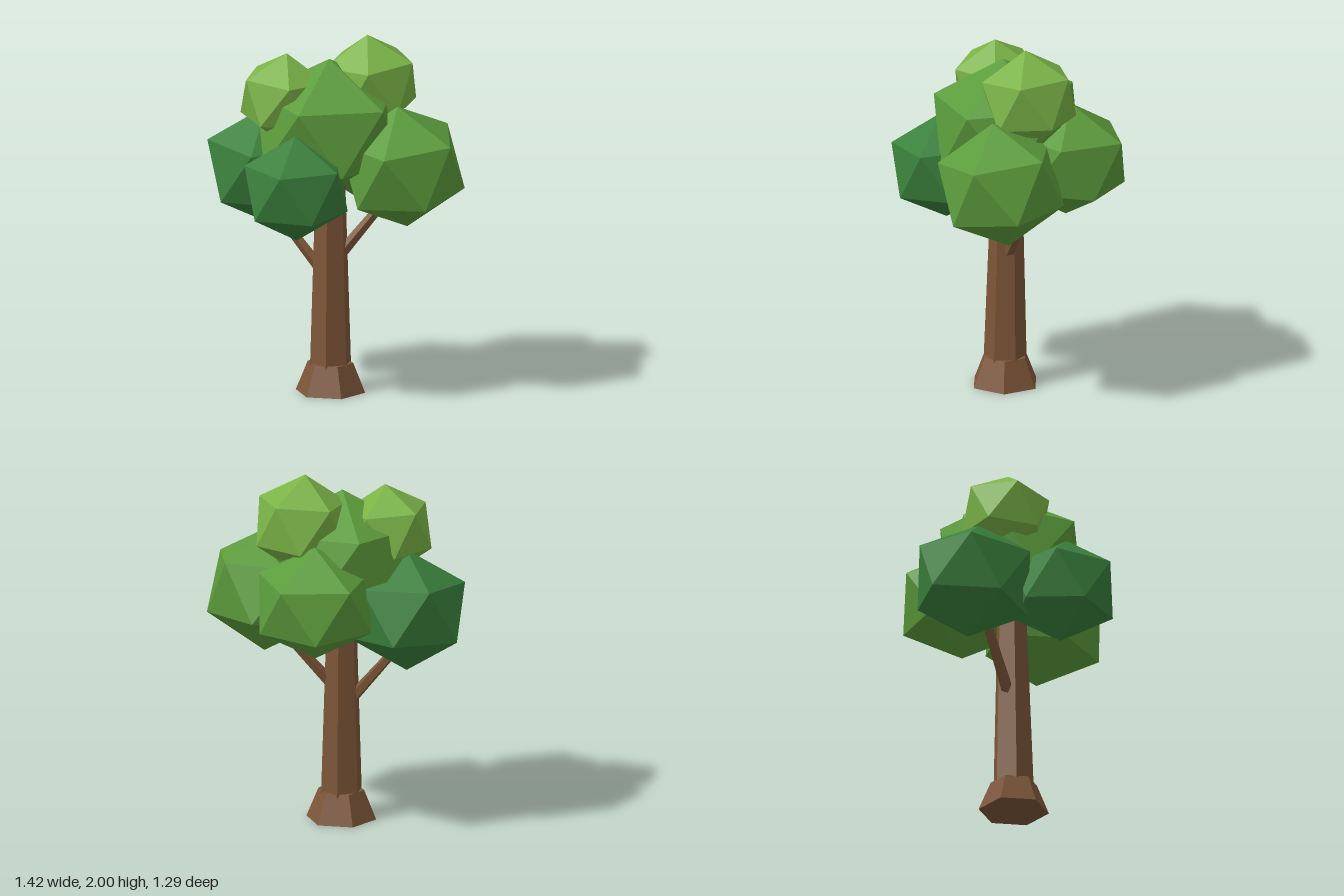
import * as THREE from 'three';

const mat = (color) => new THREE.MeshStandardMaterial({ color, flatShading: true });
const bark = mat(0x7d5639);
const darkLeaf = mat(0x3a803c);
const midLeaf = mat(0x5c9c3c);
const lightLeaf = mat(0x7ab347);
const UP = new THREE.Vector3(0, 1, 0);

// Leaf clump: icosahedron standing on a corner, turned, squashed and leaned
function clump(name, material, center, radius, height, azimuth, leanX, leanZ) {
  const geo = new THREE.IcosahedronGeometry(1, 0);
  geo.rotateZ(-Math.atan(2 / (1 + Math.sqrt(5))));
  geo.rotateY(-THREE.MathUtils.degToRad(azimuth));
  geo.scale(radius, height, radius);
  const lean = new THREE.Vector3(leanX, 1, leanZ).normalize();
  geo.applyQuaternion(new THREE.Quaternion().setFromUnitVectors(UP, lean));
  geo.computeVertexNormals();
  const mesh = new THREE.Mesh(geo, material);
  mesh.name = name;
  mesh.position.set(...center);
  return mesh;
}

// Tapered log running from one point to another
function log(name, from, to, r0, r1, sides, turn = 0) {
  const a = new THREE.Vector3(...from), b = new THREE.Vector3(...to);
  const dir = b.clone().sub(a);
  const geo = new THREE.CylinderGeometry(r1, r0, dir.length(), sides);
  geo.rotateY(turn);
  const mesh = new THREE.Mesh(geo, bark);
  mesh.name = name;
  mesh.position.copy(a).add(b).multiplyScalar(0.5);
  mesh.quaternion.setFromUnitVectors(UP, dir.normalize());
  return mesh;
}

export function createModel() {
  const tree = new THREE.Group();
  tree.name = 'tree';

  // Trunk, flared foot and two branches
  tree.add(
    log('rootFlare', [-0.015, 0, 0.01], [-0.015, 0.165, 0.01], 0.195, 0.128, 6, Math.PI / 6),
    log('trunk', [-0.015, 0.02, 0.01], [-0.018, 1.2, 0], 0.122, 0.085, 6),
    log('rightBranch', [-0.08, 0.7, 0], [-0.42, 1.11, -0.03], 0.034, 0.022, 5),
    log('leftBranch', [0.05, 0.79, -0.015], [0.31, 1.12, -0.12], 0.034, 0.024, 5),
  );

  // Crown, from the low dark clumps to the light top ones
  const crown = new THREE.Group();
  crown.name = 'crown';
  crown.add(
    clump('lowRightClump', darkLeaf, [-0.397, 1.245, -0.075], 0.36, 0.337, 164, 0.02, 0.1),
    clump('lowFrontClump', darkLeaf, [-0.134, 1.225, 0.35], 0.315, 0.3, 96, 0, 0.06),
    clump('leftClump', midLeaf, [0.392, 1.297, 0.022], 0.37, 0.352, 21.5, -0.05, 0.13),
    clump('backClump', midLeaf, [0.063, 1.338, -0.338], 0.36, 0.322, -65.5, 0, -0.04),
    clump('centerClump', midLeaf, [-0.03, 1.495, 0], 0.45, 0.39, 30, 0.03, 0.06),
    clump('topRightClump', lightLeaf, [-0.268, 1.66, 0.06], 0.262, 0.256, 0, 0.08, 0.04),
    clump('topLeftClump', lightLeaf, [0.18, 1.722, -0.128], 0.283, 0.278, 7, -0.05, 0.08),
  );
  tree.add(crown);
  return tree;
}
